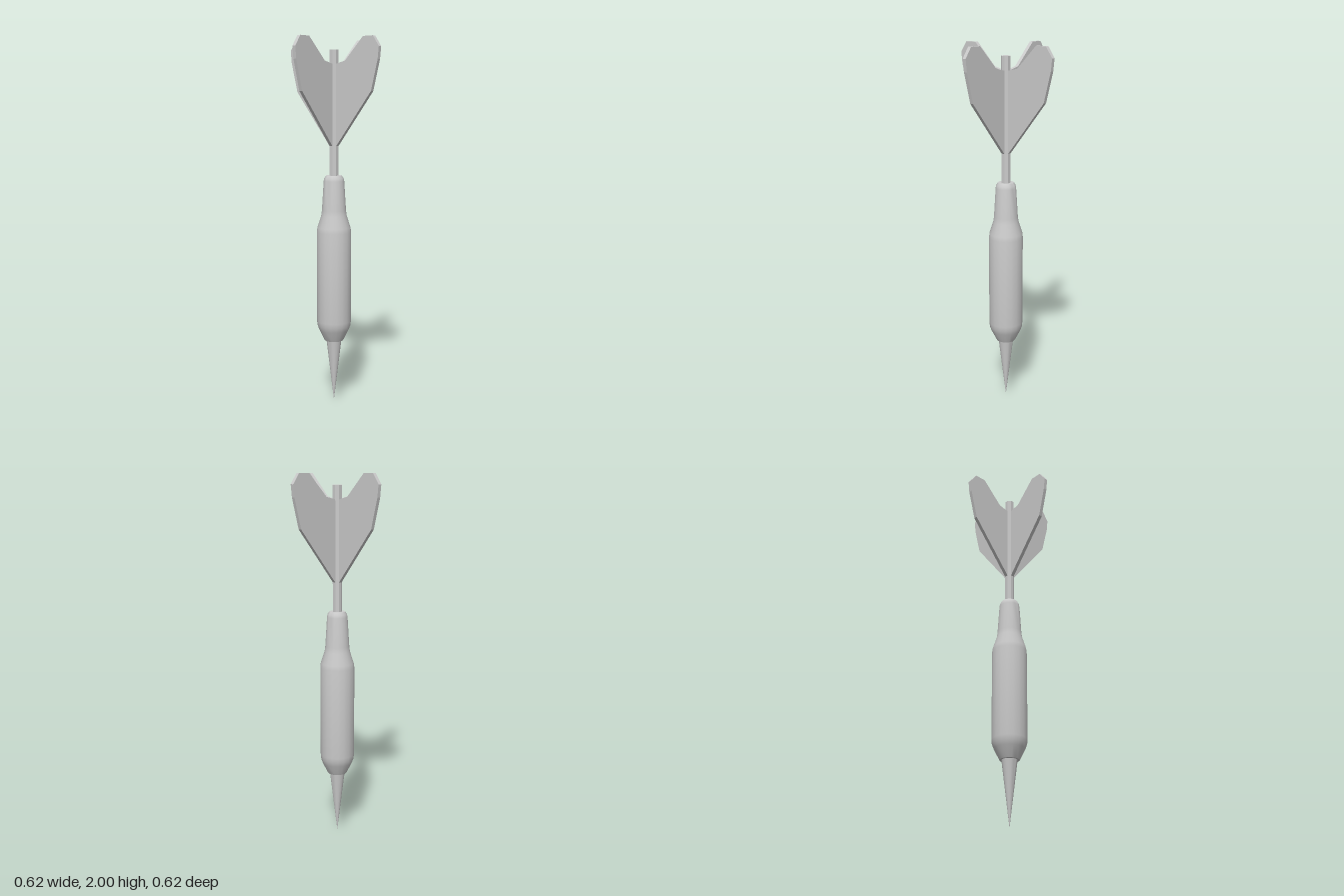
import * as THREE from 'three';
import { toCreasedNormals } from 'three/addons/utils/BufferGeometryUtils.js';

const SIDES = 18;
const FIN_THICKNESS = 0.02;

export function createModel() {
  const group = new THREE.Group();
  group.name = 'dart';
  const grey = new THREE.MeshStandardMaterial({ color: 0xcccccc });
  const flatGrey = new THREE.MeshStandardMaterial({ color: 0xcccccc, flatShading: true });

  const add = (name, geometry, material = grey) => {
    const mesh = new THREE.Mesh(geometry, material);
    mesh.name = name;
    group.add(mesh);
    return mesh;
  };

  // Turned part from [radius, y] pairs, listed bottom to top
  const turned = (profile) => {
    const points = profile.map(([r, y]) => new THREE.Vector2(r, y));
    const lathe = new THREE.LatheGeometry(points, SIDES).rotateY(Math.PI / 2);
    return toCreasedNormals(lathe, 0.75);
  };

  // Needle point
  add('tip', turned([[0, 0], [0.042, 0.35], [0, 0.35]]));

  // Weighted grip with a tapered neck
  add('barrel', turned([
    [0, 0.35], [0.053, 0.35], [0.083, 0.41], [0.092, 0.435], [0.0945, 0.46],
    [0.0945, 0.96], [0.091, 0.985], [0.07, 1.05], [0.066, 1.08],
    [0.056, 1.24], [0.053, 1.255], [0.043, 1.27], [0, 1.27],
  ]));

  // Octagonal shaft with flats facing the fins
  const shaft = new THREE.CylinderGeometry(0.026, 0.026, 0.68, 8);
  shaft.rotateY(Math.PI / 8).translate(0, 1.6, 0);
  add('shaft', shaft, flatGrey);

  // Four fins around the shaft
  const outline = [
    [0.005, 1.43], [0.024, 1.43], [0.26, 1.72], [0.302, 1.88], [0.309, 1.945],
    [0.27, 2], [0.205, 2], [0.085, 1.88], [0.02, 1.865], [0.005, 1.865],
  ].map(([x, y]) => new THREE.Vector2(x, y));
  const finGeometry = new THREE.ExtrudeGeometry(new THREE.Shape(outline), {
    depth: FIN_THICKNESS,
    bevelEnabled: false,
  }).translate(0, 0, -FIN_THICKNESS / 2);
  ['leftFin', 'backFin', 'rightFin', 'frontFin'].forEach((name, i) => {
    add(name, finGeometry, flatGrey).rotation.y = (i * Math.PI) / 2;
  });

  return group;
}
